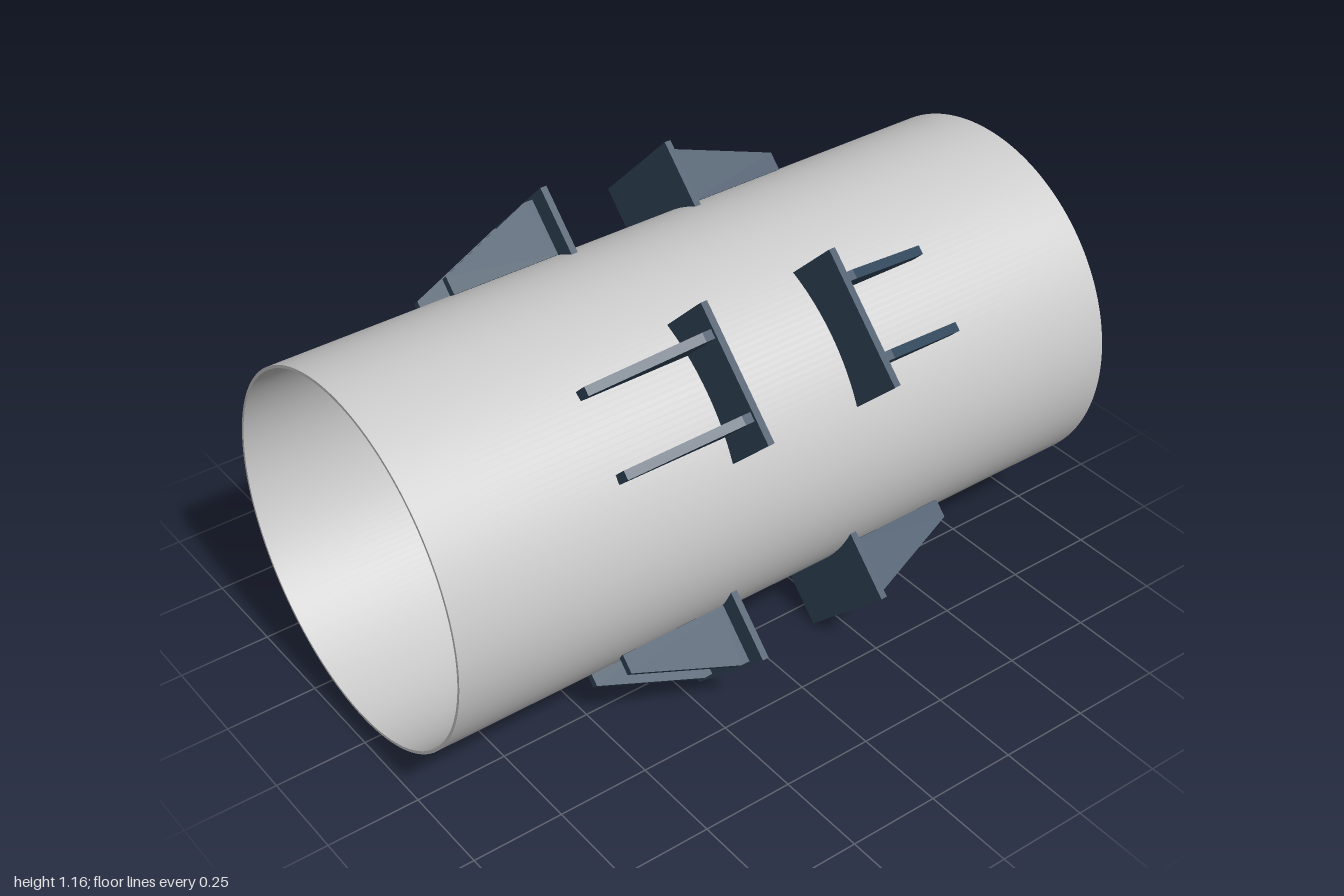
import * as THREE from 'three';
import { toCreasedNormals } from 'three/addons/utils/BufferGeometryUtils.js';

const AXIS_Y = 0.583;   // height of the pipe axis
const OUTER = 0.493, INNER = 0.485;

const pipeMaterial = new THREE.MeshStandardMaterial({ color: 0xcccccc, side: THREE.DoubleSide });
const bracketMaterial = new THREE.MeshStandardMaterial({ color: 0x34495e });

function extrude(shape, depth, curveSegments = 16) {
  return new THREE.ExtrudeGeometry(shape, { depth, bevelEnabled: false, curveSegments });
}

// Thin-walled open pipe, running along local z
function pipeGeometry() {
  const ring = new THREE.Shape().absarc(0, 0, OUTER, 0, Math.PI * 2, false);
  ring.holes.push(new THREE.Path().absarc(0, 0, INNER, 0, Math.PI * 2, true));
  return toCreasedNormals(extrude(ring, 2, 96).translate(0, 0, -1), 0.6);
}

// Upright plate whose lower edge is cut to the curve of the pipe
function plateGeometry() {
  const w = 0.181, top = 0.641, r = OUTER - 0.002;
  const a = Math.acos(w / r);
  const shape = new THREE.Shape();
  shape.moveTo(-w, top);
  shape.lineTo(-w, r * Math.sin(a));
  shape.absarc(0, 0, r, Math.PI - a, a, true);
  shape.lineTo(w, top);
  shape.closePath();
  return extrude(shape, 0.018).translate(0, 0, 0.182);
}

// Tapered rib that braces the plate along the pipe
function gussetGeometry() {
  const t = 0.024;
  const shape = new THREE.Shape([
    [0.198, 0.48], [0.505, 0.48], [0.505, 0.529], [0.225, 0.632], [0.198, 0.632],
  ].map(([x, y]) => new THREE.Vector2(x, y)));
  return extrude(shape, t).translate(0, 0, -t / 2).rotateY(-Math.PI / 2);
}

export function createModel() {
  const model = new THREE.Group();
  model.name = 'pipeWithBrackets';

  const assembly = new THREE.Group();
  assembly.name = 'assembly';
  assembly.position.y = AXIS_Y;
  assembly.rotation.y = Math.PI / 2;
  model.add(assembly);

  const add = (parent, name, geometry, material) => {
    const mesh = new THREE.Mesh(geometry, material);
    mesh.name = name;
    parent.add(mesh);
    return mesh;
  };

  add(assembly, 'pipe', pipeGeometry(), pipeMaterial);

  // Four bracket pairs around the pipe, mirrored about its middle
  const plate = plateGeometry(), gusset = gussetGeometry();
  for (let i = 0; i < 4; i++) {
    const station = new THREE.Group();
    station.name = `bracketPair${i + 1}`;
    station.rotation.z = Math.PI / 4 + i * Math.PI / 2;
    assembly.add(station);
    for (const turn of [0, Math.PI]) {
      const bracket = new THREE.Group();
      bracket.name = turn ? 'rightBracket' : 'leftBracket';
      bracket.rotation.y = turn;
      station.add(bracket);
      add(bracket, 'plate', plate, bracketMaterial);
      for (const v of [-0.105, 0.105]) add(bracket, 'gusset', gusset, bracketMaterial).position.x = v;
    }
  }
  return model;
}
